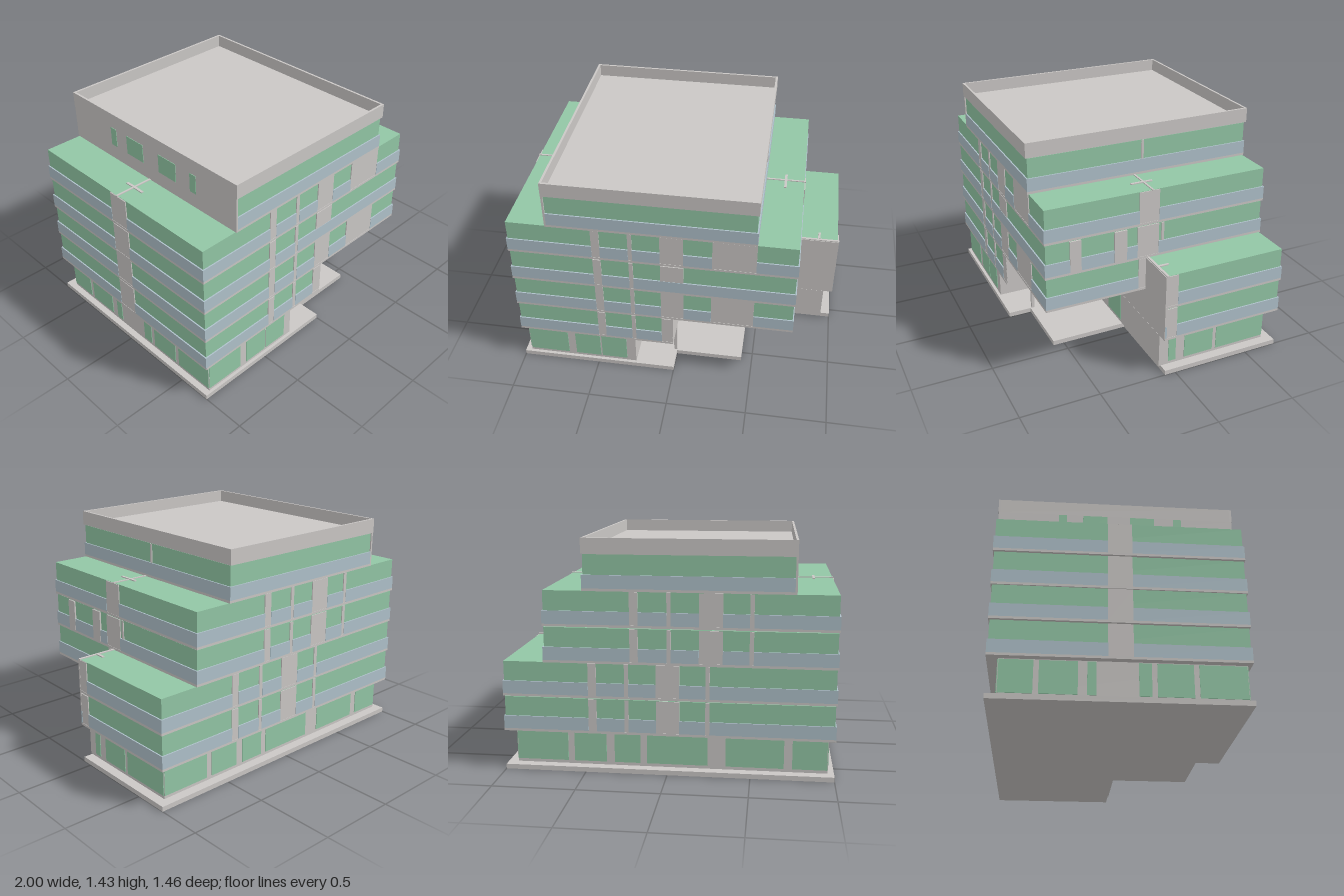
import * as THREE from 'three';

const mat = (name, color) => {
  const m = new THREE.MeshStandardMaterial({ color });
  m.name = name;
  return m;
};

export function createModel() {
  const root = new THREE.Group();
  root.name = 'officeBuilding';
  const grey = mat('concrete grey', 0xcac7c5);
  const green = mat('glass green', 0x92c6a5);
  const blue = mat('spandrel blue', 0xafc1ca);

  // Box given by its limits on each axis
  function box(name, m, x0, x1, y0, y1, z0, z1) {
    const mesh = new THREE.Mesh(new THREE.BoxGeometry(x1 - x0, y1 - y0, z1 - z0), m);
    mesh.position.set((x0 + x1) / 2, (y0 + y1) / 2, (z0 + z1) / 2);
    mesh.name = name;
    root.add(mesh);
  }

  // Thin panel on a wall plane; dir is the outward sign, d the depth behind the plane
  function panel(name, m, axis, p, dir, a, b, y0, y1, d = 0.012) {
    const lo = Math.min(p, p - dir * d), hi = Math.max(p, p - dir * d);
    if (axis === 'x') box(name, m, lo, hi, y0, y1, a, b);
    else box(name, m, a, b, y0, y1, lo, hi);
  }

  // One storey of a wall: spandrels between piers; a pier flagged 1 keeps the spandrel running below it
  function facade(axis, p, dir, a, b, y, piers = []) {
    let start = a;
    const band = (s, e) => {
      if (e - s > 0.002) panel('spandrel', blue, axis, p, dir, s, e, y + 0.015, y + 0.095);
    };
    for (const [s, e, upper] of piers) {
      panel('pier', grey, axis, p - dir * 0.002, dir, s, e, y + (upper ? 0.095 : 0.014), y + 0.213, 0.01);
      if (upper) continue;
      band(start, s);
      start = e;
    }
    band(start, b);
  }

  // Floor slab with the glazed volume above it
  function storey(x0, x1, z0, z1, y) {
    const i = 0.008;
    box('floorSlab', grey, x0, x1, y, y + 0.015, z0, z1);
    box('glazing', green, x0 + i, x1 - i, y + 0.012, y + 0.215, z0 + i, z1 - i);
  }

  const Z = 0.725, E = 0.745, W = 0.08;
  const F = [0.25, 0.47, 0.685, 0.905, 1.12];

  // Stepped base plate
  box('basePlate', grey, -1, 0, 0, 0.03, -0.72, 0.72);
  box('entrancePlate', grey, 0, 0.43, 0, 0.03, -0.72, 0.57);
  box('wingPlate', grey, 0.43, 1, 0, 0.03, -0.72, 0.07);

  // Ground floor walls
  box('groundFloorWest', grey, -0.96, -0.25, 0.03, 0.25, -0.66, 0.7);
  box('groundFloorEast', grey, -0.25, 0.94, 0.03, 0.25, -0.66, 0.083);
  box('entrancePost', grey, -0.02, 0, 0.03, 0.25, 0.54, 0.56);

  // Ground floor windows, as spans along each wall
  const groundWindows = [
    ['z', 0.7, 1, [[-0.957, -0.7], [-0.65, -0.485], [-0.475, -0.31]]],
    ['z', 0.083, 1, [[0.22, 0.41]]],
    ['x', -0.25, 1, [[0.17, 0.24]]],
    ['x', 0.94, 1, [[-0.03, 0.02], [-0.29, -0.09], [-0.657, -0.315]]],
    ['z', -0.66, -1, [[0.62, 0.937], [0.38, 0.58], [0.17, 0.33], [-0.24, 0.13], [-0.7, -0.35], [-0.957, -0.75]]],
    ['x', -0.96, -1, [[-0.657, -0.47], [-0.44, -0.23], [-0.18, -0.13], [0.1, 0.17], [0.2, 0.4], [0.43, 0.697]]],
  ];
  for (const [axis, p, dir, spans] of groundWindows)
    for (const [a, b] of spans)
      panel('groundWindow', green, axis, p + dir * 0.004, dir, a, b, 0.05, 0.245, 0.008);

  // Glazed volumes: first floor is cut back at the entrance, the wing is two storeys
  storey(-1, 0, -Z, Z, F[0]);
  storey(-0.02, 1, -Z, W, F[0]);
  storey(-1, E, -Z, Z, F[1]);
  storey(E - 0.02, 1, -Z, W, F[1]);
  storey(-1, E, -Z, Z, F[2]);
  storey(-1, E, -Z, Z, F[3]);
  storey(-0.75, 0.5, -Z, Z, F[4]);

  // Front walls
  const left = [[-0.48, -0.43], [-0.26, -0.235]];
  facade('z', Z, 1, -1, 0, F[0], [...left, [-0.07, 0]]);
  for (const y of [F[1], F[3]])
    facade('z', Z, 1, -1, E, y, [...left, [-0.07, 0.07], [0.24, 0.5]]);
  facade('z', Z, 1, -1, E, F[2], [...left, [-0.07, 0.07, 1]]);

  // Entrance recess and blank wing wall
  panel('recessReturn', grey, 'x', 0.002, 1, W, Z - 0.003, F[0], F[1]);
  facade('z', W, 1, 0, 1, F[0], [[0, 0.02], [0.02, 0.34, 1], [0.34, 0.998]]);
  panel('wingWall', grey, 'z', W + 0.002, 1, 0.34, 0.999, F[0], F[1] + 0.214);

  // Right side walls
  for (const y of [F[0], F[1]]) facade('x', 1, 1, -Z, W, y, [[0, W]]);
  facade('x', E, 1, W, Z, F[1], [[W, 0.13]]);
  facade('x', E, 1, -Z, Z, F[2], [[-0.035, -0.018, 1], [0, 0.14], [0.21, 0.29, 1], [0.5, 0.57, 1]]);
  // Storey-high panels on the third floor run over the spandrel
  for (const [a, b] of [[0.21, 0.29], [0.5, 0.57]])
    panel('sidePier', grey, 'x', E + 0.002, 1, a, b, F[2] + 0.014, F[2] + 0.213);
  facade('x', E, 1, -Z, Z, F[3], [[0, 0.13]]);

  // Back walls: the same rhythm, moved out with the wing on the lower storeys
  F.slice(0, 4).forEach((y, i) => {
    const s = i < 2 ? 0.255 : 0;
    const piers = [[-0.51, -0.485], [-0.33, -0.19], [-0.025, 0], [0.17, 0.22]];
    facade('z', -Z, -1, -1, E + s, y, piers.map(([a, b]) => [a + s, b + s]));
  });

  // Left side walls
  for (const y of F.slice(0, 4)) facade('x', -1, -1, -Z, Z, y, [[-0.07, 0.07]]);

  // Top storey with a solid left wall and small windows
  facade('z', Z, 1, -0.738, 0.5, F[4]);
  facade('z', -Z, -1, -0.738, 0.5, F[4]);
  facade('x', 0.5, 1, -Z, Z, F[4], [[-0.015, 0, 1]]);
  panel('topLeftWall', grey, 'x', -0.75, -1, -Z, Z, F[4], 1.34);
  for (const [c, w] of [[-0.33, 0.05], [-0.13, 0.15], [0.16, 0.15], [0.38, 0.05]])
    panel('topWindow', green, 'x', -0.753, -1, c - w / 2, c + w / 2, 1.215, 1.335, 0.008);

  // Roof and parapet
  box('roof', grey, -0.74, 0.49, 1.335, 1.352, -0.72, 0.72);
  for (const s of [-1, 1]) {
    panel('parapet', grey, 'z', s * 0.728, s, -0.75, 0.5, 1.34, 1.43, 0.014);
    panel('parapet', grey, 'x', s > 0 ? 0.5 : -0.75, s, -0.714, 0.714, 1.34, 1.43, 0.014);
  }

  // Thin wall caps crossing the terraces
  const caps = [[-1, -0.75, 0.005, -0.87, -0.07, 0.07], [0.5, E, 0.058, 0.62, -0.01, 0.13]];
  for (const [x0, x1, z, cx, z0, z1] of caps) {
    box('terraceCap', grey, x0, x1, 1.115, 1.125, z - 0.017, z - 0.005);
    box('terraceCrossCap', grey, cx - 0.008, cx + 0.008, 1.115, 1.126, z0, z1);
  }
  box('wingCap', grey, E, 1, 0.68, 0.69, 0.062, 0.078);
  box('wingCrossCap', grey, 0.862, 0.878, 0.68, 0.691, 0, 0.065);

  return root;
}
